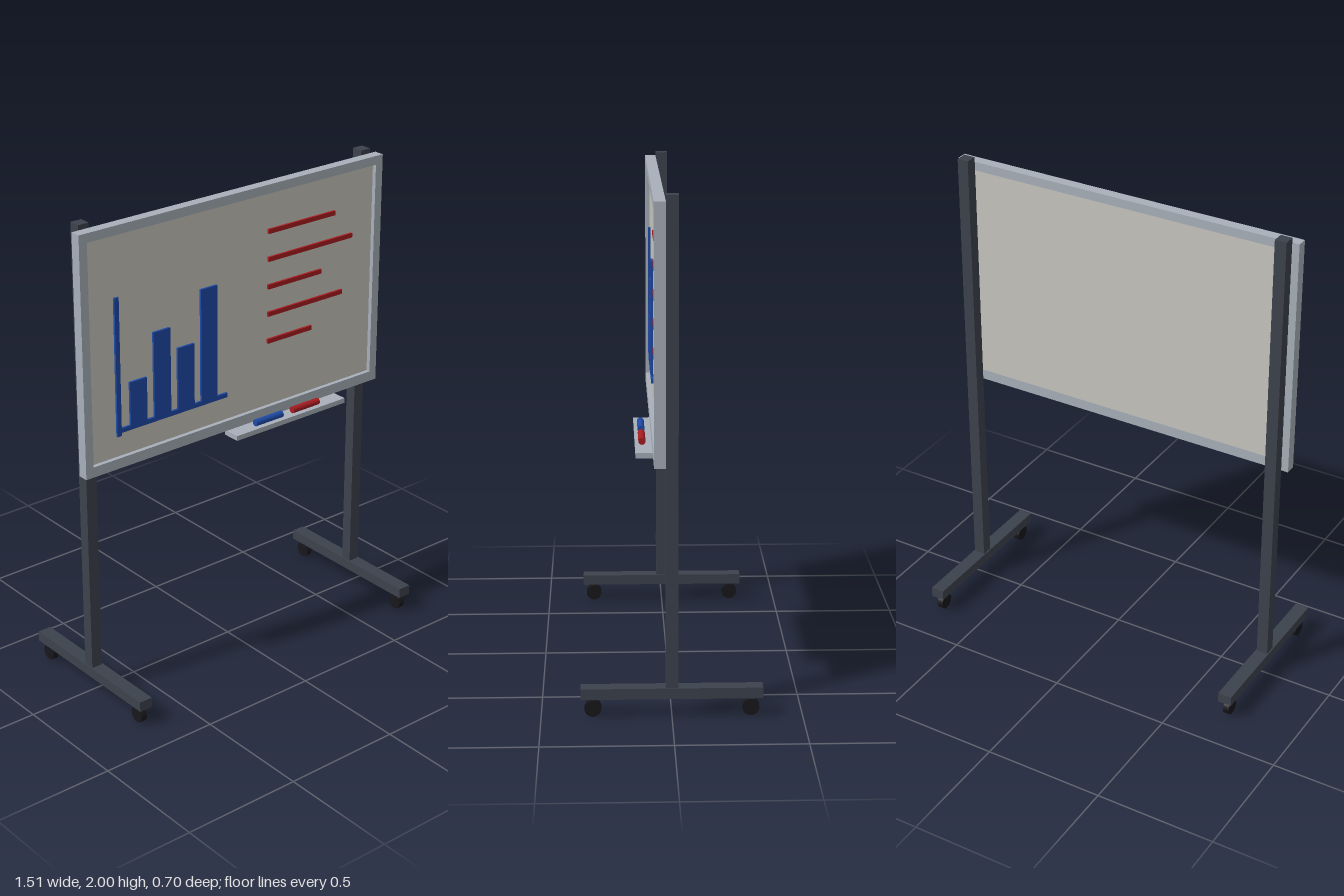
import * as THREE from 'three';

const mat = (name, color) => {
  const m = new THREE.MeshStandardMaterial({ color });
  m.name = name;
  return m;
};

export function createModel() {
  const steel = mat('dark steel', 0x3c424d);
  const alu = mat('aluminium', 0xa8b0ba);
  const white = mat('board surface', 0xc8c6be);
  const blue = mat('blue ink', 0x1e4aa8);
  const red = mat('red ink', 0xa81c20);
  const rubber = mat('black rubber', 0x18181c);

  const model = new THREE.Group();
  model.name = 'mobileWhiteboard';

  const add = (name, geometry, material, x = 0, y = 0, z = 0) => {
    const mesh = new THREE.Mesh(geometry, material);
    mesh.name = name;
    mesh.position.set(x, y, z);
    model.add(mesh);
    return mesh;
  };
  // Box given by its limits on each axis
  const box = (name, material, [x0, x1], [y0, y1], [z0, z1]) =>
    add(name, new THREE.BoxGeometry(x1 - x0, y1 - y0, z1 - z0), material,
      (x0 + x1) / 2, (y0 + y1) / 2, (z0 + z1) / 2);

  // Stand: post, foot and two wheels on each side
  for (const [side, s] of [['left', 1], ['right', -1]]) {
    const x = 0.699 * s;
    box(side + 'Post', steel, [x - 0.024, x + 0.024], [0.118, 2], [-0.024, 0.024]);
    box(side + 'Foot', steel, [x - 0.029, x + 0.029], [0.075, 0.118], [-0.348, 0.348]);
    for (const [end, z] of [['Front', 0.302], ['Back', -0.302]]) {
      const wheel = new THREE.CylinderGeometry(0.033, 0.033, 0.026, 16).rotateZ(Math.PI / 2);
      add(side + end + 'Wheel', wheel, rubber, x, 0.033, z);
    }
  }

  // Board: rim with a rectangular opening, and the writing surface set back in it
  const rectangle = (Type, w, y0, y1) => new Type([
    new THREE.Vector2(-w, y0), new THREE.Vector2(w, y0),
    new THREE.Vector2(w, y1), new THREE.Vector2(-w, y1),
  ]);
  const rim = rectangle(THREE.Shape, 0.753, 0.99, 1.98);
  rim.holes.push(rectangle(THREE.Path, 0.717, 1.033, 1.943));
  add('boardFrame', new THREE.ExtrudeGeometry(rim, { depth: 0.044, bevelEnabled: false }),
    alu, 0, 0, 0.024);
  box('writingSurface', white, [-0.717, 0.717], [1.033, 1.943], [0.0245, 0.05]);

  // Drawn bar chart
  const ink = [0.05, 0.0595];
  box('chartVerticalAxis', blue, [-0.594, -0.574], [1.12, 1.692], ink);
  box('chartHorizontalAxis', blue, [-0.574, -0.051], [1.133, 1.152], ink);
  [1.332, 1.507, 1.41, 1.624].forEach((top, i) => {
    const x = -0.53 + i * 0.1163;
    box('chartBar' + (i + 1), blue, [x, x + 0.081], [1.152, top], ink);
  });

  // Written lines
  [0.51, 0.605, 0.441, 0.557, 0.393].forEach((end, i) => {
    const y = 1.782 - i * 0.1165;
    box('noteLine' + (i + 1), red, [0.161, end], [y - 0.0095, y + 0.0095], ink);
  });

  // Pen tray with two markers
  box('penTray', alu, [-0.06, 0.518], [0.969, 0.99], [0.055, 0.133]);
  for (const [name, material, x] of [['blueMarker', blue, 0.126], ['redMarker', red, 0.322]]) {
    const marker = new THREE.CylinderGeometry(0.014, 0.014, 0.141, 12).rotateZ(Math.PI / 2);
    add(name, marker, material, x, 1.004, 0.106);
  }

  return model;
}
